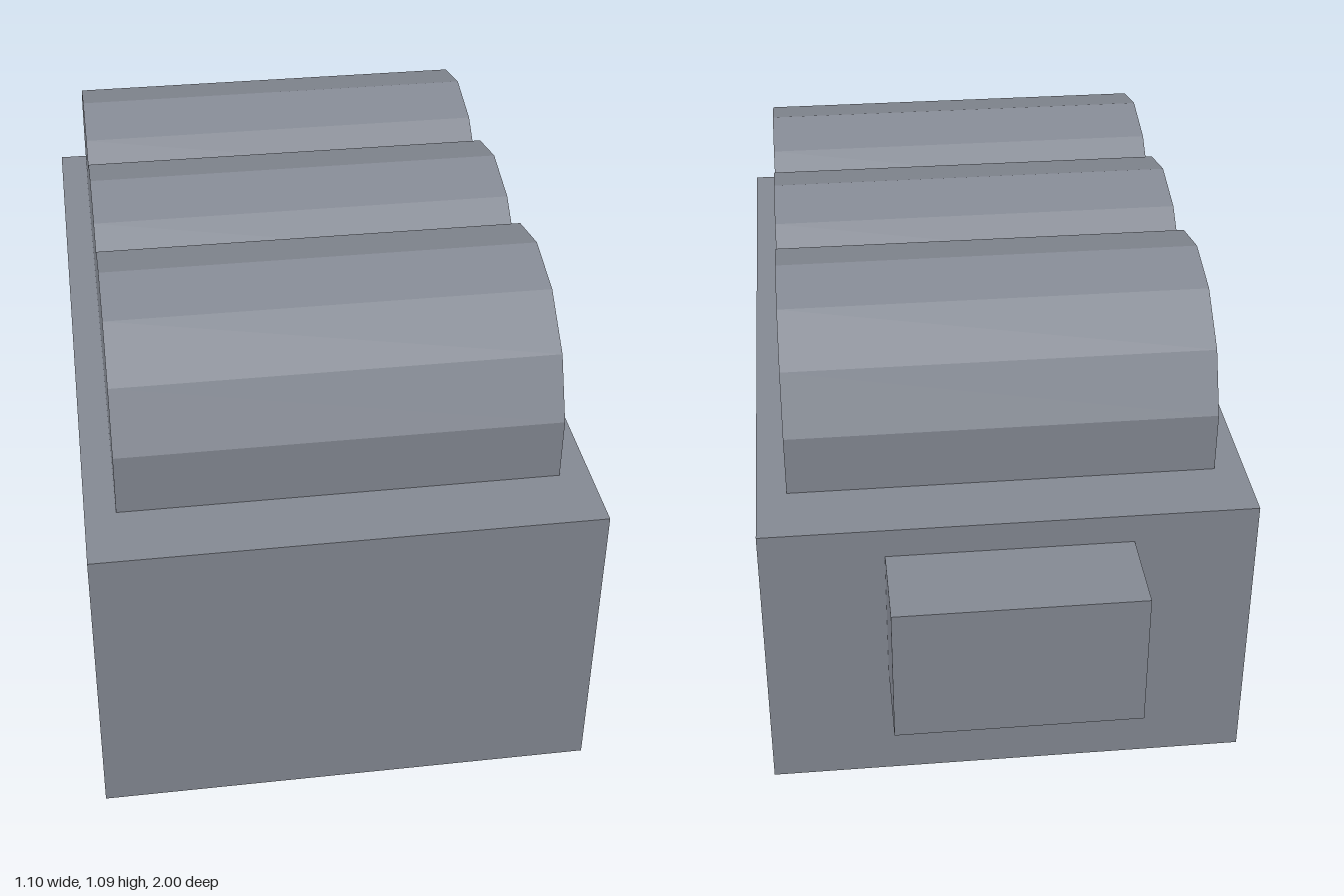
import * as THREE from 'three';

const material = new THREE.MeshStandardMaterial({ color: 0x868b95, flatShading: true });

function addMesh(group, name, geometry, x, y, z) {
  const mesh = new THREE.Mesh(geometry, material);
  mesh.name = name;
  mesh.position.set(x, y, z);
  group.add(mesh);
}

export function createModel() {
  const model = new THREE.Group();
  model.name = 'boxWithRollers';

  // Main body and the block on its back
  addMesh(model, 'body', new THREE.BoxGeometry(1.1, 0.69, 1.793), 0, 0.345, 0.1035);
  addMesh(model, 'rearBlock', new THREE.BoxGeometry(0.55, 0.33, 0.207), 0, 0.455, -0.8965);

  // Three overlapping 14-sided rollers lying across the body, an edge pointing up
  const radius = 0.331;
  const roller = new THREE.CylinderGeometry(radius, radius, 0.965, 14, 1, false, Math.PI / 2);
  roller.rotateZ(Math.PI / 2);
  const rollers = new THREE.Group();
  rollers.name = 'rollers';
  for (let i = -1; i <= 1; i++) {
    addMesh(rollers, 'roller', roller, 0, 1.09 - radius, 0.1035 + i * 0.414);
  }
  model.add(rollers);

  return model;
}
